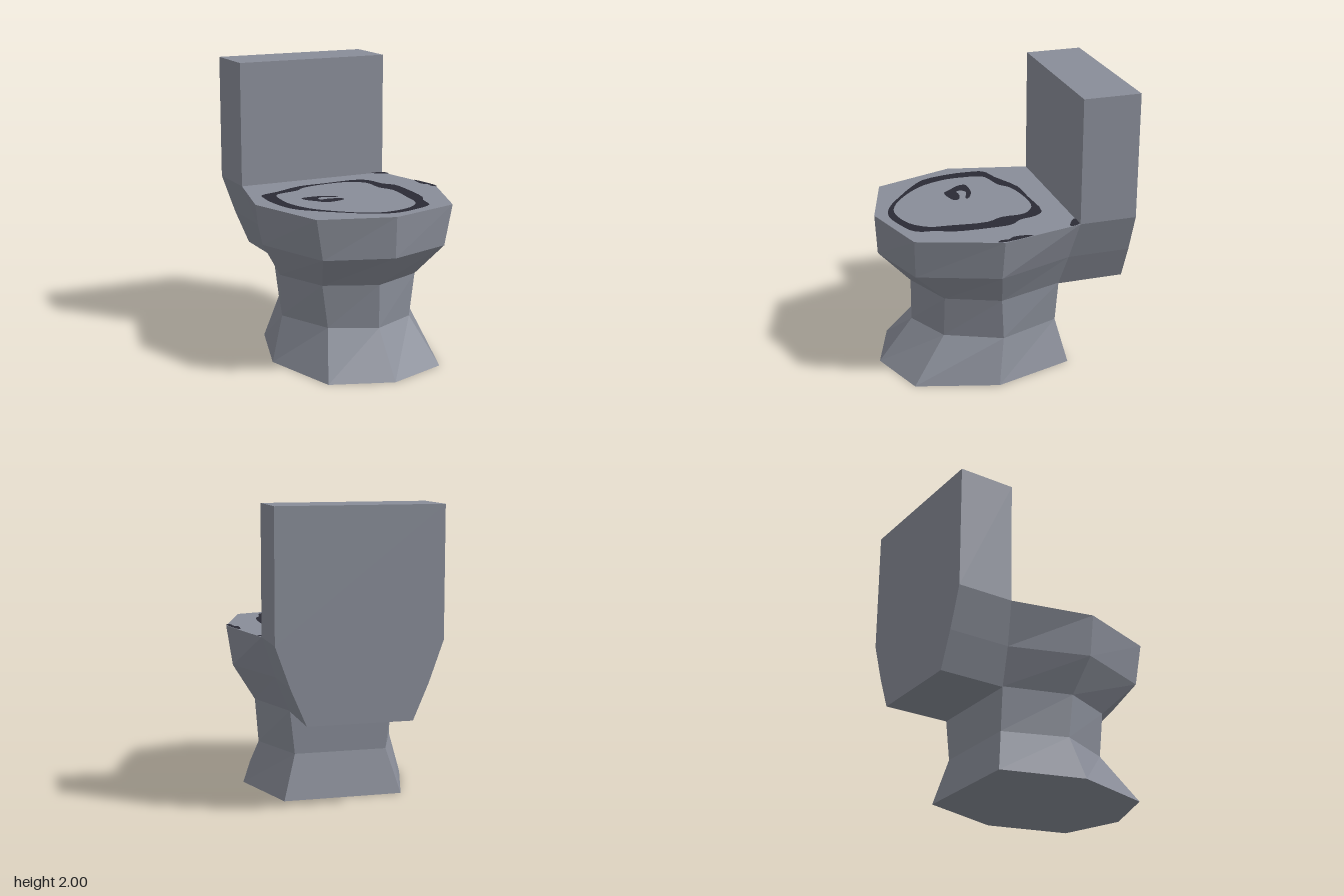
import * as THREE from 'three';

const glaze = new THREE.MeshStandardMaterial({ color: 0x898d98 });
glaze.name = 'greyGlaze';
glaze.flatShading = true;
const ink = new THREE.MeshStandardMaterial({ color: 0x2b2b35 });
ink.name = 'darkMarking';

// Closed faceted solid through rings of [x, y, z], ordered counterclockwise from above
function loft(name, rings) {
  const pos = [];
  const tri = (a, b, c) => pos.push(...a, ...b, ...c);
  const n = rings[0].length;
  for (let i = 0; i < rings.length - 1; i++) {
    const lo = rings[i], hi = rings[i + 1];
    for (let j = 0; j < n; j++) {
      const k = (j + 1) % n;
      tri(lo[j], lo[k], hi[k]);
      tri(lo[j], hi[k], hi[j]);
    }
  }
  const bottom = rings[0], top = rings[rings.length - 1];
  for (let j = 1; j < n - 1; j++) {
    tri(bottom[0], bottom[j + 1], bottom[j]);
    tri(top[0], top[j], top[j + 1]);
  }
  const geo = new THREE.BufferGeometry();
  geo.setAttribute('position', new THREE.Float32BufferAttribute(pos, 3));
  geo.computeVertexNormals();
  const mesh = new THREE.Mesh(geo, glaze);
  mesh.name = name;
  return mesh;
}

// Seven-sided, mirrored bowl section: back, middle and front corners plus the front tip
function bowlRing(y, [xb, zb], [xm, zm], [xf, zf], tip) {
  return [[-xb, y, zb], [-xm, y, zm], [-xf, y, zf], [0, y, tip],
    [xf, y, zf], [xm, y, zm], [xb, y, zb]];
}

// Rectangular tank section
function tankRing(y, x, zFront) {
  return [[-x, y, -0.84], [-x, y, zFront], [x, y, zFront], [x, y, -0.84]];
}

// Thin painted patch lying on the seat, outlined by [x, z] points
function marking(name, outline, hole) {
  const smooth = (pts) => new THREE.CatmullRomCurve3(
    pts.map(([x, z]) => new THREE.Vector3(x, -z, 0)), true, 'centripetal'
  ).getPoints(pts.length * 3).slice(0, -1).map((p) => new THREE.Vector2(p.x, p.y));
  const shape = new THREE.Shape(smooth(outline));
  if (hole) shape.holes.push(new THREE.Path(smooth(hole)));
  const mesh = new THREE.Mesh(new THREE.ShapeGeometry(shape), ink);
  mesh.rotation.x = -Math.PI / 2;
  mesh.position.y = 1.129;
  mesh.name = name;
  return mesh;
}

export function createModel() {
  const model = new THREE.Group();
  model.name = 'toilet';

  // Flared foot, narrow waist and wide bowl
  model.add(loft('bowlAndPedestal', [
    bowlRing(0, [0.41, -0.43], [0.58, 0.13], [0.42, 0.69], 0.84),
    bowlRing(0.305, [0.32, -0.36], [0.48, 0.07], [0.31, 0.45], 0.6),
    bowlRing(0.605, [0.355, -0.37], [0.5, 0.09], [0.35, 0.45], 0.6),
    bowlRing(0.845, [0.46, -0.4], [0.645, 0.135], [0.45, 0.675], 0.825),
    bowlRing(1.125, [0.56, -0.44], [0.69, 0.13], [0.5, 0.69], 0.84),
  ]));

  // Upright tank, tapering below the seat
  model.add(loft('tank', [
    tankRing(0.6, 0.355, -0.37),
    tankRing(0.845, 0.46, -0.4),
    tankRing(1.125, 0.56, -0.44),
    tankRing(2, 0.56, -0.44),
  ]));

  // Hand-painted seat ring
  model.add(marking('seatRing',
    [[-0.55, -0.1], [-0.42, -0.15], [-0.2, -0.25], [0, -0.26], [0.28, -0.265], [0.34, -0.2],
      [0.37, -0.08], [0.43, 0], [0.44, 0.15], [0.42, 0.42], [0.38, 0.5], [0.35, 0.64],
      [0.22, 0.71], [0.05, 0.75], [-0.1, 0.71], [-0.3, 0.57], [-0.42, 0.47], [-0.52, 0.36],
      [-0.57, 0.15], [-0.57, 0]],
    [[-0.47, -0.03], [-0.44, -0.08], [-0.27, -0.13], [-0.2, -0.19], [0, -0.235], [0.18, -0.225],
      [0.28, -0.14], [0.29, 0.03], [0.34, 0.14], [0.32, 0.4], [0.3, 0.54], [0.2, 0.65],
      [0, 0.7], [-0.15, 0.65], [-0.33, 0.5], [-0.42, 0.38], [-0.48, 0.2], [-0.48, 0.05]]));

  // Hooked squiggle inside the ring
  model.add(marking('squiggle',
    [[-0.34, 0.1], [-0.28, 0.09], [-0.18, 0.1], [-0.09, 0.15], [-0.1, 0.165], [-0.2, 0.13],
      [-0.24, 0.15], [-0.24, 0.19], [-0.17, 0.19], [-0.09, 0.22], [-0.09, 0.25],
      [-0.17, 0.28], [-0.24, 0.28], [-0.28, 0.23], [-0.34, 0.15]]));

  // Stray paint spots at the left edge
  model.add(marking('backSpot', [[0.46, -0.435], [0.556, -0.435], [0.574, -0.365], [0.51, -0.39]]));
  model.add(marking('edgeSpot',
    [[0.635, -0.09], [0.685, 0.12], [0.675, 0.175], [0.65, 0.15], [0.65, 0.09], [0.62, 0.05]]));

  return model;
}
